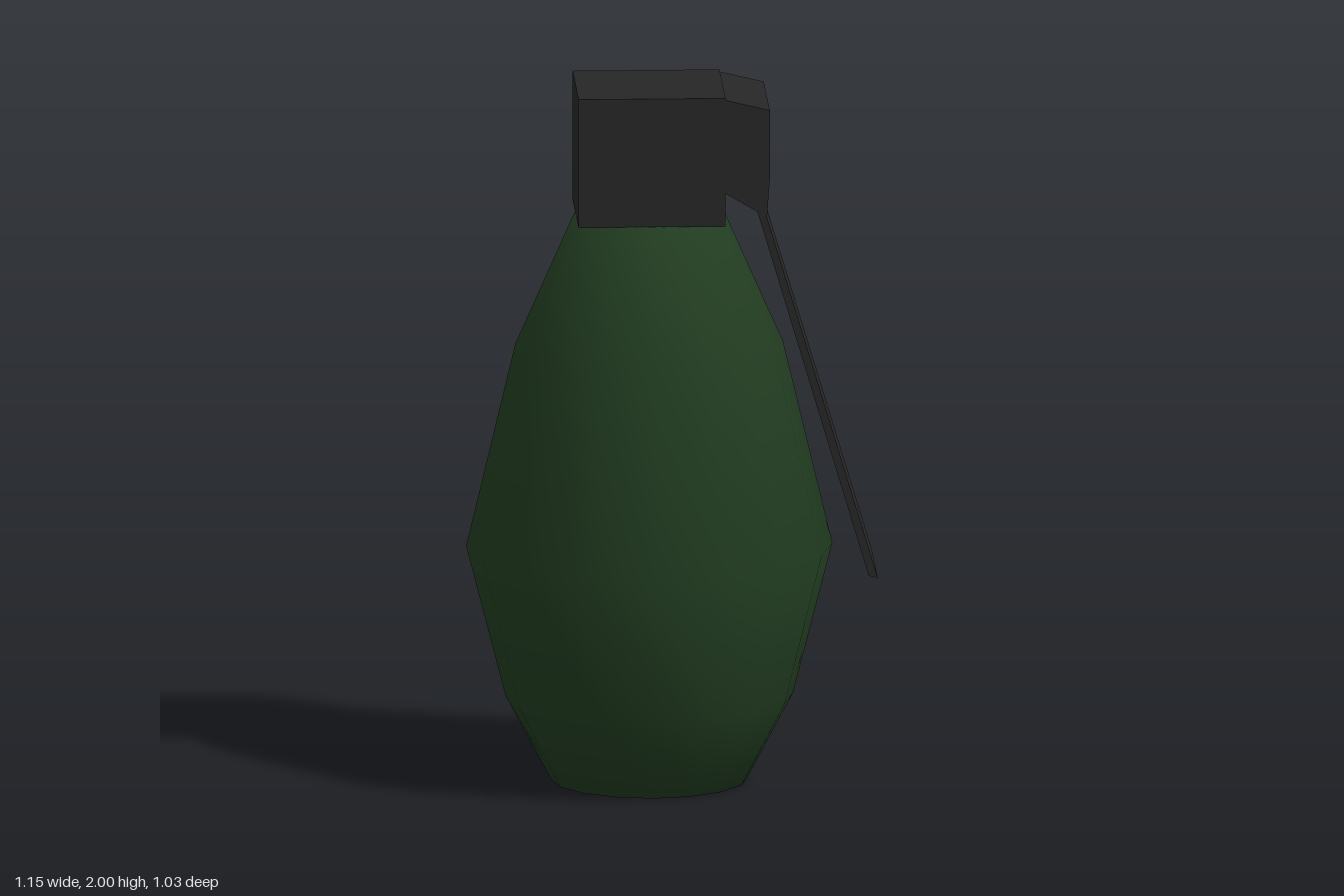
import * as THREE from 'three';

const HALF_WIDTH = 0.198;

// Extrudes an x-y outline evenly to both sides of z = 0
function slab(name, outline, material) {
  const shape = new THREE.Shape(outline.map(([x, y]) => new THREE.Vector2(x, y)));
  const geometry = new THREE.ExtrudeGeometry(shape, { depth: HALF_WIDTH * 2, bevelEnabled: false });
  geometry.translate(0, 0, -HALF_WIDTH);
  const mesh = new THREE.Mesh(geometry, material);
  mesh.name = name;
  return mesh;
}

export function createModel() {
  const group = new THREE.Group();
  group.name = 'grenade';
  const green = new THREE.MeshStandardMaterial({ color: 0x213c20 });
  const dark = new THREE.MeshStandardMaterial({ color: 0x262626 });

  // Sixteen-sided body, smooth shaded, closed at both ends
  const profile = [[0, 0], [0.277, 0], [0.406, 0.243], [0.517, 0.675], [0.378, 1.257], [0.212, 1.632], [0, 1.632]]
    .map(([r, y]) => new THREE.Vector2(r, y));
  const body = new THREE.Mesh(new THREE.LatheGeometry(profile, 16), green);
  body.name = 'body';
  body.position.x = -0.062;
  group.add(body);

  // Fuse block on top of the body
  const head = new THREE.Mesh(new THREE.BoxGeometry(0.415, 0.37, HALF_WIDTH * 2), dark);
  head.name = 'fuseHead';
  head.position.set(-0.0625, 1.815, 0);
  group.add(head);

  // Sloped hinge, then the thin safety lever hanging from it
  group.add(slab('leverHinge', [[0.145, 1.725], [0.235, 1.672], [0.262, 1.655], [0.27, 1.77], [0.27, 1.964], [0.145, 1.994]], dark));
  group.add(slab('safetyLever', [[0.235, 1.672], [0.549, 0.62], [0.575, 0.613], [0.262, 1.655]], dark));

  return group;
}
